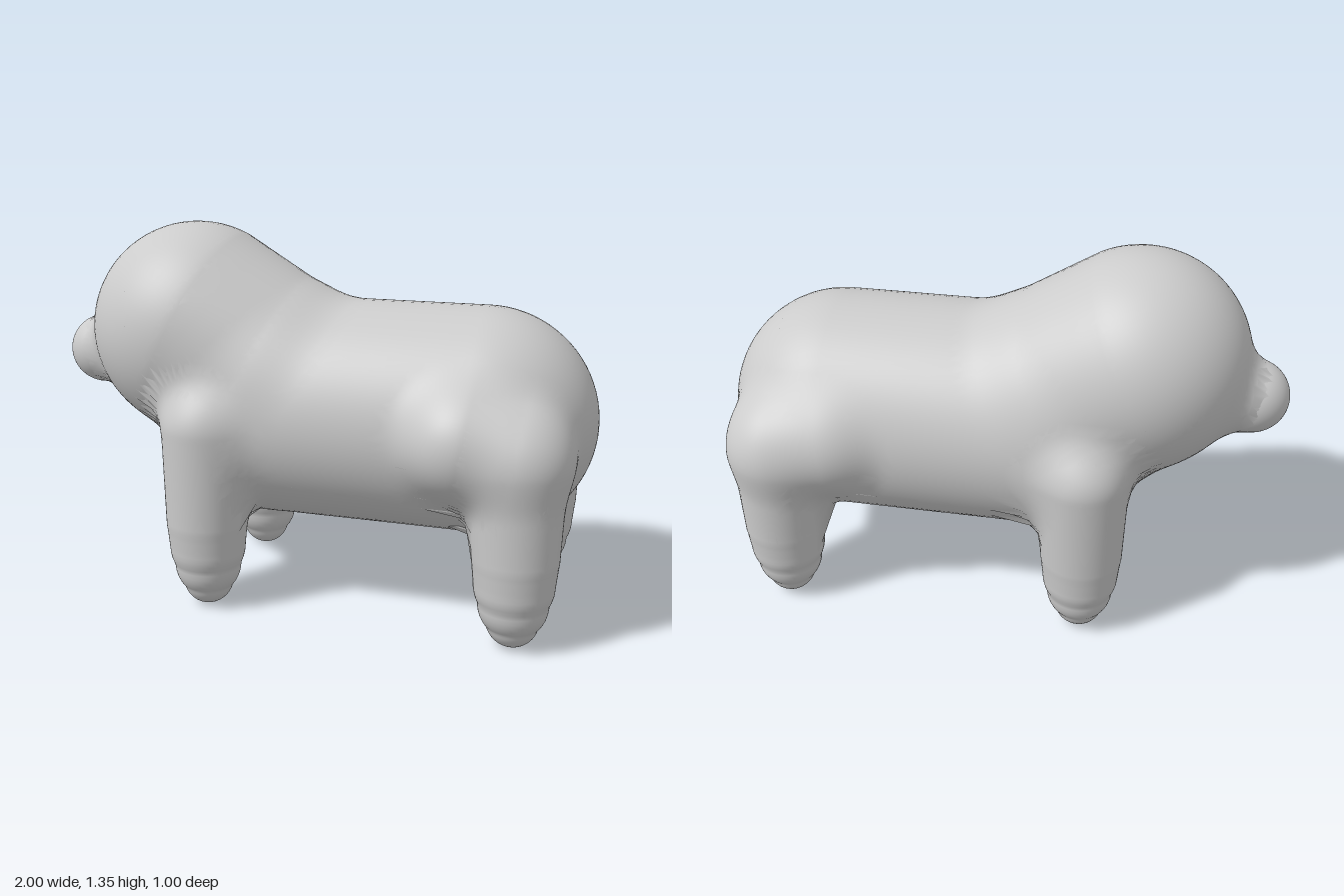
import * as THREE from 'three';

// Each part is a chain of spheres [x, y, z, radius] along its axis; k is how softly it blends into the rest.
const parts = [
  { name: 'body', k: 0.05, chain: [[-0.14, 0.69, -0.015, 0.4], [0.6, 0.69, -0.015, 0.4]] },
  { name: 'headAndNeck', k: 0.08, chain: [[-0.47, 0.96, -0.015, 0.388], [-0.2, 0.83, -0.015, 0.36]] },
  { name: 'chest', k: 0.04, chain: [[-0.44, 0.93, -0.015, 0.36], [-0.17, 0.69, -0.015, 0.375]] },
  { name: 'snout', k: 0.06, chain: [[-0.868, 0.852, -0.02, 0.13], [-0.7, 0.88, -0.02, 0.18]] },
  { name: 'leftFrontLeg', k: 0.08, chain: leg([-0.33, 0.29], [-0.325, 0.66, 0.285, 0.16]) },
  { name: 'rightFrontLeg', k: 0.08, chain: leg([-0.33, -0.325], [-0.325, 0.66, -0.33, 0.16]) },
  { name: 'leftHindLeg', k: 0.08, chain: leg([0.775, 0.31], [0.765, 0.62, 0.3, 0.165]) },
  { name: 'rightHindLeg', k: 0.08, chain: leg([0.775, -0.33], [0.765, 0.62, -0.325, 0.165]) },
  { name: 'leftHaunch', k: 0.08, chain: [[0.58, 0.69, 0.295, 0.195], [0.75, 0.66, 0.28, 0.18]] },
  { name: 'rightHaunch', k: 0.08, chain: [[0.58, 0.69, -0.29, 0.19], [0.75, 0.67, -0.305, 0.185]] },
];

// Leg: rounded, narrowing foot, straight shin, fuller top
function leg([x, z], top) {
  return [[x, 0.09, z, 0.09], [x, 0.15, z, 0.119], [x, 0.22, z, 0.136], [x, 0.32, z, 0.146], top];
}

for (const part of parts) part.spheres = part.chain.map(([x, y, z, r]) => ({ c: new THREE.Vector3(x, y, z), r }));

// Signed distance to one part
const ab = new THREE.Vector3(), ap = new THREE.Vector3();
function partDistance(part, p) {
  let best = Infinity;
  for (let i = 0; i + 1 < part.spheres.length; i++) {
    const a = part.spheres[i], b = part.spheres[i + 1];
    ab.subVectors(b.c, a.c);
    ap.subVectors(p, a.c);
    const t = THREE.MathUtils.clamp(ap.dot(ab) / ab.lengthSq(), 0, 1);
    best = Math.min(best, ap.addScaledVector(ab, -t).length() - THREE.MathUtils.lerp(a.r, b.r, t));
  }
  return best;
}

// Signed distance to the whole blended skin
function skinDistance(p) {
  let d = 10;
  for (const part of parts) {
    const e = partDistance(part, p);
    const h = Math.max(part.k - Math.abs(d - e), 0);
    d = Math.min(d, e) - (h * h) / (4 * part.k);
  }
  return d;
}

// Walk from an origin along a direction until the surface of a field
const probe = new THREE.Vector3();
function reach(field, origin, dir, start, limit) {
  let t = start;
  for (let i = 0; i < 80 && t < limit; i++) {
    const d = field(probe.copy(origin).addScaledVector(dir, t));
    if (d > -0.0003) return t;
    t += -d * 0.9;
  }
  return t < limit ? t : null;
}

// Slope of the skin field gives smooth normals shared by all parts
function skinNormal(p, out) {
  const e = 0.012;
  for (const axis of ['x', 'y', 'z']) {
    const a = p.clone(), b = p.clone();
    a[axis] += e;
    b[axis] -= e;
    out[axis] = skinDistance(a) - skinDistance(b);
  }
  return out.normalize();
}

// Capsule around the part's axis, its vertices pushed out to the blended skin
function partGeometry(part) {
  const first = part.spheres[0].c, last = part.spheres[part.spheres.length - 1].c;
  const length = first.distanceTo(last), half = length / 2;
  const middle = first.clone().add(last).multiplyScalar(0.5);
  const turn = new THREE.Quaternion().setFromUnitVectors(
    new THREE.Vector3(0, 1, 0), last.clone().sub(first).normalize());
  const geometry = new THREE.CapsuleGeometry(0.1, length, 20, 60, 32);
  const pos = geometry.attributes.position, nor = geometry.attributes.normal;
  const v = new THREE.Vector3(), origin = new THREE.Vector3(), n = new THREE.Vector3();
  for (let i = 0; i < pos.count; i++) {
    v.fromBufferAttribute(pos, i);
    origin.set(0, THREE.MathUtils.clamp(v.y, -half, half), 0);
    const dir = v.clone().sub(origin).normalize().applyQuaternion(turn);
    origin.applyQuaternion(turn).add(middle);
    const own = reach((p) => partDistance(part, p), origin, dir, 0, 2) ?? 0.1;
    // Points buried deep in a neighbour stay on their own part, hidden inside
    const t = reach(skinDistance, origin, dir, own, own + 0.24) ?? own;
    v.copy(origin).addScaledVector(dir, t);
    pos.setXYZ(i, v.x, v.y, v.z);
    skinNormal(v, n);
    nor.setXYZ(i, n.x, n.y, n.z);
  }
  return geometry;
}

export function createModel() {
  const model = new THREE.Group();
  model.name = 'animal';
  const material = new THREE.MeshStandardMaterial({ color: 0xcccccc });
  for (const part of parts) {
    const mesh = new THREE.Mesh(partGeometry(part), material);
    mesh.name = part.name;
    model.add(mesh);
  }
  return model;
}
